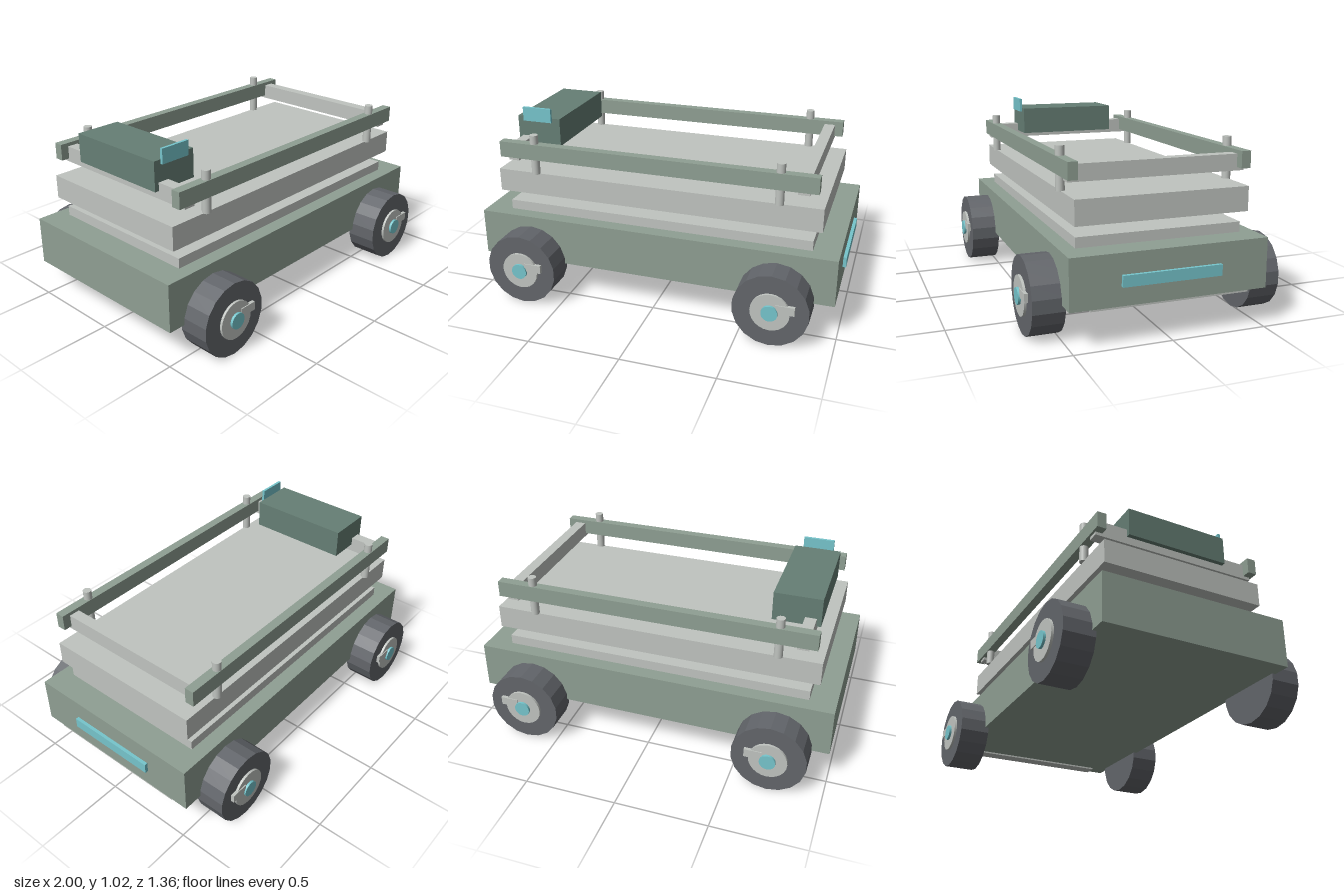
import * as THREE from 'three';

function material(name, color, flatShading = false) {
  const m = new THREE.MeshStandardMaterial({ color, flatShading });
  m.name = name;
  return m;
}

export function createModel() {
  const model = new THREE.Group();
  model.name = 'cargoCart';

  const sage = material('sageGreen', 0x8f9f93);
  const pine = material('darkGreen', 0x667f75);
  const grey = material('lightGrey', 0xc0c4c0);
  const rubber = material('rubber', 0x63666b, true);
  const cyan = material('cyan', 0x76c5cc);

  // Box given by its minimum and maximum on each axis
  function box(name, mat, [x0, x1], [y0, y1], [z0, z1], parent = model) {
    const mesh = new THREE.Mesh(new THREE.BoxGeometry(x1 - x0, y1 - y0, z1 - z0), mat);
    mesh.position.set((x0 + x1) / 2, (y0 + y1) / 2, (z0 + z1) / 2);
    mesh.name = name;
    parent.add(mesh);
  }

  // Disc with its axle along z, between two depths
  function disc(name, mat, radius, z0, z1, sides, parent) {
    const geo = new THREE.CylinderGeometry(radius, radius, z1 - z0, sides);
    geo.rotateX(Math.PI / 2);
    const mesh = new THREE.Mesh(geo, mat);
    mesh.position.z = (z0 + z1) / 2;
    mesh.name = name;
    parent.add(mesh);
  }

  // Chassis and stacked decks
  box('chassis', sage, [-1, 0.98], [0.197, 0.455], [-0.512, 0.512]);
  box('lowerDeck', grey, [-0.86, 0.84], [0.455, 0.508], [-0.435, 0.435]);
  box('upperDeck', grey, [-0.908, 0.884], [0.57, 0.697], [-0.452, 0.452]);
  box('bumperLip', grey, [0.9, 0.979], [0.188, 0.22], [-0.41, 0.41]);
  box('lightBar', cyan, [0.98, 0.998], [0.293, 0.35], [-0.257, 0.257]);

  // Guard rails along both sides, with posts
  for (const side of [1, -1]) {
    const z = side * 0.449;
    box('sideRail', sage, [-0.88, 0.856], [0.78, 0.867], [z - 0.025, z + 0.025]);
    for (const x of [-0.684, 0.66]) {
      const post = new THREE.Mesh(new THREE.CylinderGeometry(0.023, 0.023, 0.222, 16), grey);
      post.position.set(x, 0.805, z);
      post.name = 'railPost';
      model.add(post);
    }
  }
  for (const x of [-0.806, 0.78]) {
    box('crossRail', grey, [x - 0.03, x + 0.03], [0.763, 0.848], [-0.462, 0.462]);
  }

  // Control console with a small screen
  box('console', pine, [-0.86, -0.608], [0.805, 0.96], [-0.287, 0.287]);
  box('screen', cyan, [-0.82, -0.653], [0.938, 1.016], [0.287, 0.302]);

  // Wheels, mirrored front to back
  for (const x of [-0.71, 0.677]) {
    for (const side of [1, -1]) {
      const wheel = new THREE.Group();
      wheel.name = 'wheel';
      const zs = (a, b) => (side > 0 ? [a, b] : [-b, -a]);
      disc('tyre', rubber, 0.199, ...zs(0.492, 0.655), 18, wheel);
      disc('hub', grey, 0.102, ...zs(0.65, 0.668), 24, wheel);
      disc('hubCap', cyan, 0.043, ...zs(0.66, 0.681), 18, wheel);
      box('hubTab', grey, [0.03, 0.126], [0.004, 0.05], zs(0.65, 0.673), wheel);
      wheel.position.set(x, 0.199, 0);
      model.add(wheel);
    }
  }

  return model;
}
